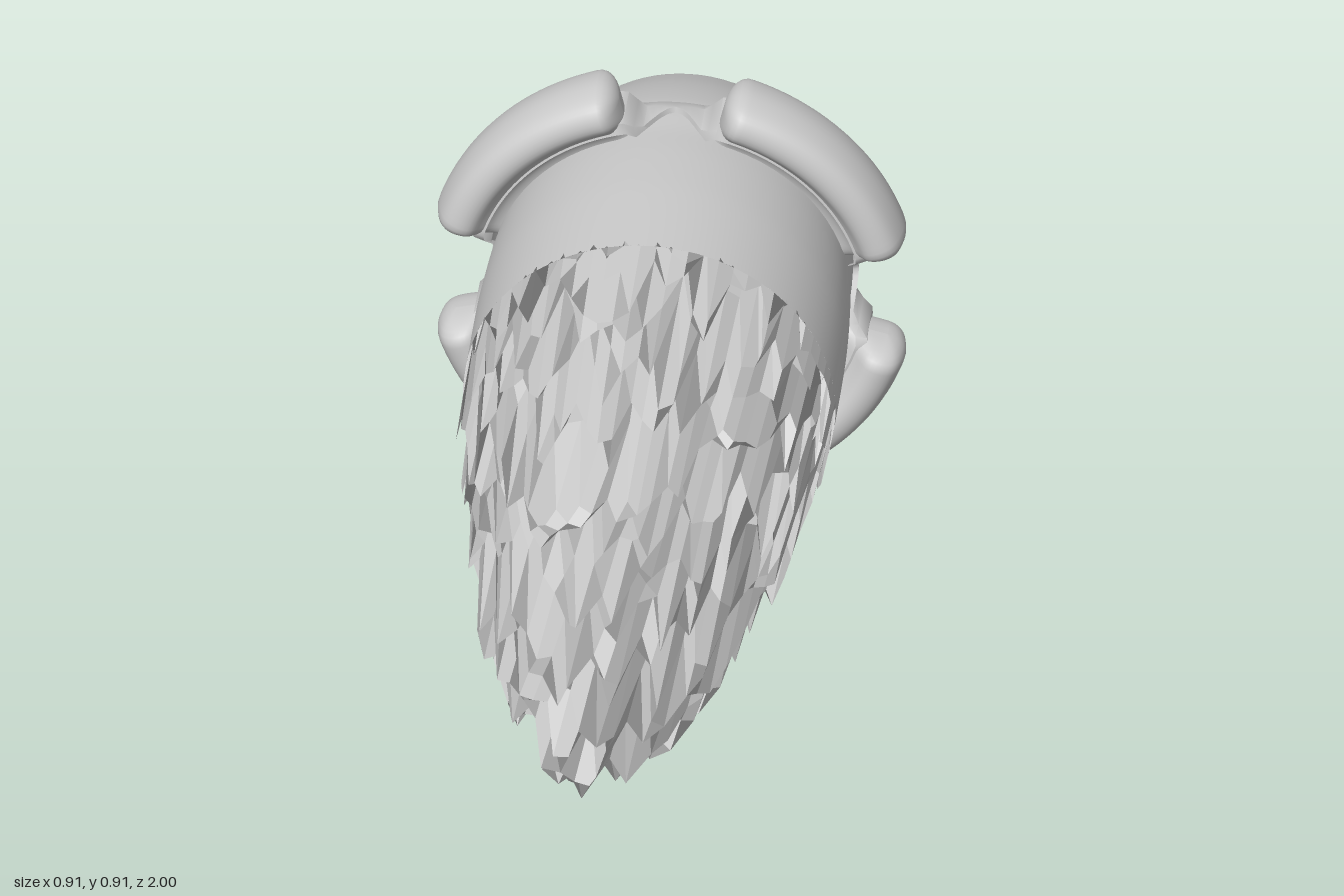
import * as THREE from 'three';
import { mergeVertices, toCreasedNormals } from 'three/addons/utils/BufferGeometryUtils.js';
import { ParametricGeometry } from 'three/addons/geometries/ParametricGeometry.js';

const CENTRE_Y = 0.455;
const RADIUS = 0.36;
const RIM_Z = -0.24;

function seeded(seed) {
  let s = seed;
  return () => {
    s = (s * 16807) % 2147483647;
    return s / 2147483647;
  };
}

function mesh(name, geometry) {
  const m = new THREE.Mesh(geometry, new THREE.MeshStandardMaterial({ color: 0xcccccc, side: THREE.DoubleSide }));
  m.name = name;
  return m;
}

const spline = pairs => new THREE.SplineCurve(pairs.map(([a, b]) => new THREE.Vector2(a, b)));

// Lathe whose profile is given as points of (radius, z) from back to front
function latheZ(points, segments) {
  return new THREE.LatheGeometry(points, segments).rotateX(Math.PI / 2);
}

// Smooth, full rear shell with a rounded, nearly flat end
function makeShell() {
  const curve = spline([
    [0, -1], [0.1, -0.999], [0.19, -0.995], [0.228, -0.985], [0.253, -0.963], [0.272, -0.93], [0.3, -0.87],
    [0.325, -0.8], [0.342, -0.73], [0.346, -0.65], [0.353, -0.57],
    [0.358, -0.48], [RADIUS, -0.4], [RADIUS, RIM_Z],
  ]);
  return latheZ(curve.getPoints(52), 72);
}

// Collar that dips back between the fins and sweeps up into their roots
function makeCollar() {
  const profile = [[0.315, -0.79], [0.341, -0.745], [0.354, -0.715], [0.355, -0.71], [0.335, -0.705]];
  const geo = latheZ(profile.map(([r, z]) => new THREE.Vector2(r, z)), 160);
  const p = geo.attributes.position;
  const quarter = Math.PI / 2;
  for (let i = 0; i < p.count; i++) {
    const z = p.getZ(i);
    if (z < -0.72) continue;
    const a = Math.atan2(p.getY(i), p.getX(i));
    const fromGap = Math.abs(a - Math.round(a / quarter) * quarter);
    const grow = 1 + 0.12 * THREE.MathUtils.smoothstep(fromGap, 0.15, 0.26);
    const rise = z > -0.712 ? 0.11 * THREE.MathUtils.smoothstep(fromGap, 0, 0.28) : 0;
    p.setXYZ(i, p.getX(i) * grow, p.getY(i) * grow, z + rise);
  }
  return toCreasedNormals(geo, 0.8);
}

// Curved fin: a bulbous section on a narrower root, swept round an arc with rounded ends
function makeFin(angle) {
  const section = spline([
    [0.33, -0.625], [0.36, -0.615], [0.385, -0.59], [0.405, -0.566], [0.43, -0.56], [0.455, -0.57],
    [0.47, -0.595], [0.477, -0.64], [0.47, -0.685], [0.455, -0.71], [0.43, -0.72], [0.39, -0.718], [0.33, -0.71],
  ]);
  const geo = new ParametricGeometry((u, v, target) => {
    const deg = 31.3 * Math.sin((0.5 - u) * Math.PI);
    const q = Math.min(1, Math.max(0, (Math.abs(deg) - 26.3) / 5));
    const shrink = Math.sqrt(1 - q * q);
    const s = section.getPoint(v);
    const r = Math.min(s.x, 0.43 + (s.x - 0.43) * shrink);
    const a = angle + THREE.MathUtils.degToRad(deg);
    target.set(r * Math.cos(a), r * Math.sin(a), -0.64 + (s.y + 0.64) * shrink);
  }, 36, 36);
  geo.computeVertexNormals();
  return geo;
}

// Tapering front of jagged shards: a dome of square cells, each corner pushed along z
function makeShards() {
  const n = 18;
  let geo = new THREE.BoxGeometry(2, 2, 2, n, n, n);
  geo.deleteAttribute('normal');
  geo.deleteAttribute('uv');
  geo = mergeVertices(geo, 1e-4);
  const p = geo.attributes.position;
  const rand = seeded(4127);
  const v = new THREE.Vector3();
  const bend = c => Math.tan(c * Math.PI / 4);

  // keep only the front half
  const kept = [];
  const idx = geo.index.array;
  for (let i = 0; i < idx.length; i += 3) {
    const tri = [idx[i], idx[i + 1], idx[i + 2]];
    if (tri.every(k => p.getZ(k) > -1e-4)) kept.push(...tri);
  }
  geo.setIndex(kept);

  for (let i = 0; i < p.count; i++) {
    v.fromBufferAttribute(p, i);
    v.set(bend(v.x), bend(v.y), bend(v.z)).normalize();
    const t = Math.max(0, v.z);
    const jag = THREE.MathUtils.smoothstep(t, 0, 0.15) * 0.3 * (rand() - 0.5);
    const z = RIM_Z + 1.14 * Math.pow(t, 1.7) + jag;
    p.setXYZ(i, v.x * RADIUS, v.y * RADIUS, Math.min(1, z));
  }
  geo.rotateZ(THREE.MathUtils.degToRad(-27));

  // one flat normal per four-sided cell
  const flat = geo.toNonIndexed();
  flat.computeVertexNormals();
  const normal = flat.attributes.normal;
  const other = new THREE.Vector3();
  for (let i = 0; i < normal.count; i += 6) {
    v.fromBufferAttribute(normal, i).add(other.fromBufferAttribute(normal, i + 3)).normalize();
    for (let k = i; k < i + 6; k++) normal.setXYZ(k, v.x, v.y, v.z);
  }
  return flat;
}

export function createModel() {
  const model = new THREE.Group();
  model.name = 'shardNosedPod';
  const body = new THREE.Group();
  body.name = 'body';
  body.position.y = CENTRE_Y + 0.02;
  body.position.y = CENTRE_Y;
  model.add(body);

  body.add(mesh('rearShell', makeShell()));
  body.add(mesh('finCollar', makeCollar()));
  body.add(mesh('jaggedFront', makeShards()));

  ['upperLeftFin', 'upperRightFin', 'lowerRightFin', 'lowerLeftFin'].forEach((name, i) => {
    body.add(mesh(name, makeFin(Math.PI / 4 + i * Math.PI / 2)));
  });
  return model;
}
